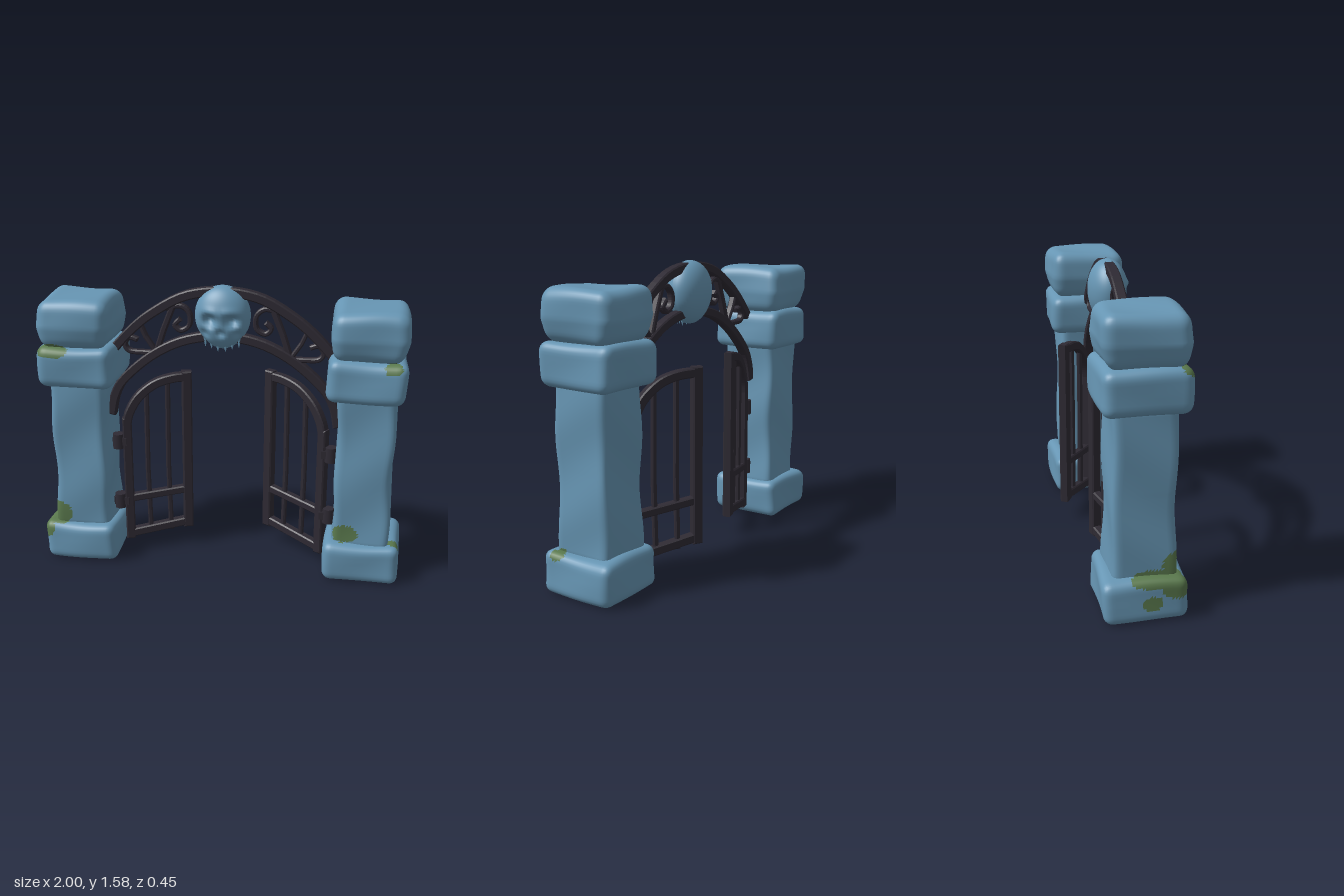
import * as THREE from 'three';
import { mergeVertices } from 'three/addons/utils/BufferGeometryUtils.js';

const flat = (name, color) => Object.assign(new THREE.MeshStandardMaterial({ color }), { name });
const stoneMat = flat('blue stone', 0x6796b4);
const ironMat = flat('dark iron', 0x2e2a33);
const mossMat = flat('moss green', 0x5b7a4e);

// Moss patches as ellipsoids: centre x, y, z and radii x, y, z
const MOSS = [
  [-0.91, 0.27, 0.15, 0.07, 0.07, 0.07], [-1.0, 0.18, 0.16, 0.07, 0.06, 0.09],
  [-0.97, 0.215, 0.05, 0.09, 0.04, 0.12], [-1.0, 0.1, 0.03, 0.05, 0.04, 0.05],
  [-0.89, 1.24, 0.2, 0.09, 0.035, 0.07], [0.69, 0.27, 0.16, 0.08, 0.05, 0.05],
  [0.98, 0.21, 0.12, 0.06, 0.03, 0.04], [0.9, 1.235, 0.2, 0.045, 0.03, 0.06],
];
const mossy = (x, y, z) => MOSS.some(([a, b, c, d, e, f]) =>
  ((x - a) / d) ** 2 + ((y - b) / e) ** 2 + ((z - c) / f) ** 2 < 1);

function smooth(geo) {
  geo.deleteAttribute('uv');
  geo.deleteAttribute('normal');
  const out = mergeVertices(geo, 1e-5);
  out.computeVertexNormals();
  return out;
}

function mesh(name, geo, mat, parent) {
  const m = new THREE.Mesh(geo, mat);
  m.name = name;
  parent.add(m);
  return m;
}

// Worn block with rounded edges; taper(t) scales its width at height t (-1..1)
function stone(name, parent, [cx, cy, cz], [w, h, d], r, seed, taper = () => 1) {
  const seg = (s) => Math.max(12, Math.round(s / 0.016));
  const geo = new THREE.BoxGeometry(w, h, d, seg(w), seg(h), seg(d));
  geo.clearGroups();
  const p = geo.attributes.position, v = new THREE.Vector3(), q = new THREE.Vector3();
  const inner = new THREE.Vector3(w / 2 - r, h / 2 - r, d / 2 - r);
  for (let i = 0; i < p.count; i++) {
    v.fromBufferAttribute(p, i);
    q.copy(v).clamp(inner.clone().negate(), inner);
    v.sub(q).setLength(r).add(q);
    const k = taper(v.y / (h / 2));
    const a = 0.006 * Math.sin(v.y * 13 + v.z * 9 + seed);
    const b = 0.006 * Math.sin(v.y * 11 - v.x * 10 + seed * 2);
    const c = 0.006 * Math.sin(v.x * 12 + v.z * 10 + seed * 3) * (v.y > 0 ? 1 : 0.2);
    p.setXYZ(i, cx + v.x * k + a, Math.max(0, cy + v.y + c), cz + v.z * k + b);
  }
  const out = smooth(geo), pos = out.attributes.position, idx = out.index.array;
  // Sort faces into clean stone and moss
  const sets = [[], []];
  for (let i = 0; i < idx.length; i += 3) {
    const t = [idx[i], idx[i + 1], idx[i + 2]];
    const mid = (get) => t.reduce((s, j) => s + pos[get](j) / 3, 0);
    sets[mossy(mid('getX'), mid('getY'), mid('getZ')) ? 1 : 0].push(...t);
  }
  out.setIndex([...sets[0], ...sets[1]]);
  out.addGroup(0, sets[0].length, 0);
  if (sets[1].length) out.addGroup(sets[0].length, sets[1].length, 1);
  return mesh(name, out, [stoneMat, mossMat], parent);
}

// Flat iron bar of width w and depth d following points in the xy plane
function bar(name, parent, pts, w, d, curved = false) {
  const bevel = 0.007;
  let line = pts.map(([x, y]) => new THREE.Vector2(x, y));
  if (curved) line = new THREE.SplineCurve(line).getPoints(pts.length * 4);
  const left = [], right = [];
  line.forEach((p, i) => {
    const t = line[Math.min(i + 1, line.length - 1)].clone().sub(line[Math.max(i - 1, 0)]).normalize();
    const n = new THREE.Vector2(-t.y, t.x).multiplyScalar(w / 2 - bevel);
    left.push(p.clone().add(n));
    right.unshift(p.clone().sub(n));
  });
  const geo = new THREE.ExtrudeGeometry(new THREE.Shape([...left, ...right]), {
    depth: d - 2 * bevel, bevelEnabled: true, bevelSize: bevel, bevelThickness: bevel, bevelSegments: 1,
  });
  geo.translate(0, 0, bevel - d / 2);
  return mesh(name, geo, ironMat, parent);
}

function pillar(s) {
  const g = new THREE.Group();
  g.name = s < 0 ? 'rightPillar' : 'leftPillar';
  const k = s + 2;
  stone('base', g, [s * 0.79, 0.11, 0], [0.41, 0.22, 0.42], 0.045, k);
  stone('shaft', g, [s * 0.779, 0.63, 0], [0.3, 0.9, 0.31], 0.035, k + 1,
    (t) => 1 + 0.03 * t * t);
  stone('collar', g, [s * 0.768, 1.145, 0], [0.405, 0.225, 0.425], 0.05, k + 2);
  stone('cap', g, [s * 0.772, 1.375, 0], [0.395, 0.265, 0.42], 0.06, k + 3,
    (t) => (t < -0.1 ? 1 - 0.13 * ((-t - 0.1) / 0.9) : 1 - 0.03 * t));
  return g;
}

function arch() {
  const g = new THREE.Group();
  g.name = 'arch';
  const mirrored = (half) => [...half, ...half.slice(0, -1).reverse().map(([x, y]) => [-x, y])];
  bar('outerArch', g, mirrored([[-0.6, 1.21], [-0.5, 1.32], [-0.38, 1.42], [-0.2, 1.52], [0, 1.55]]), 0.05, 0.055, true);
  bar('innerArch', g, mirrored([[-0.625, 0.84], [-0.6, 0.95], [-0.54, 1.05], [-0.38, 1.19], [-0.2, 1.28], [0, 1.31]]), 0.05, 0.055, true);
  for (const s of [-1, 1]) {
    const flip = (pts) => pts.map(([x, y]) => [s * x, y]);
    bar('archStrut', g, flip([[0.365, 1.19], [0.32, 1.33], [0.26, 1.48]]), 0.032, 0.04);
    bar('largeScroll', g, flip([[0.3, 1.45], [0.225, 1.465], [0.178, 1.425], [0.18, 1.36], [0.225, 1.332], [0.258, 1.36], [0.232, 1.39]]), 0.026, 0.04, true);
    bar('smallScroll', g, flip([[0.36, 1.2], [0.44, 1.2], [0.51, 1.205], [0.535, 1.24], [0.51, 1.28], [0.47, 1.27]]), 0.026, 0.04, true);
    bar('lowerStrut', g, flip([[0.36, 1.2], [0.42, 1.29], [0.45, 1.36]]), 0.024, 0.04);
  }
  return g;
}

// Gate leaf of length L swung back on its hinge by the given angle
function gate(s, L, angle) {
  const g = new THREE.Group();
  g.name = s < 0 ? 'rightGate' : 'leftGate';
  g.position.set(s * 0.575, 0, -0.005);
  g.rotation.y = -s * angle;
  const add = (name, pts, w, d, c) => bar(name, g, pts.map(([u, y]) => [-s * u, y]), w, d, c);
  const e = L - 0.028;
  add('hingePost', [[0.028, 0.06], [0.028, 0.8]], 0.052, 0.05);
  add('topRail', [[0.028, 0.77], [0.045, 0.84], [0.1, 0.93], [0.19, 1.0], [0.29, 1.03], [e, 1.035]], 0.05, 0.05, true);
  add('freePost', [[e, 0.115], [e, 1.06]], 0.055, 0.052);
  add('bottomRail', [[0.02, 0.085], [e, 0.145]], 0.05, 0.048);
  add('middleRail', [[0.02, 0.31], [e, 0.352]], 0.045, 0.045);
  for (const [f, top] of [[0.36, 0.95], [0.66, 1.02]]) {
    const u = L * f;
    add('gateBar', [[u + 0.004, 0.1], [u - 0.004, 0.5], [u, top]], 0.028, 0.028);
  }
  return g;
}

function hinges(s) {
  const g = new THREE.Group();
  g.name = 'hinges';
  for (const y of [0.3, 0.67]) {
    mesh('hingeBarrel', new THREE.CylinderGeometry(0.033, 0.036, 0.085, 8), ironMat, g).position.set(s * 0.597, y, 0);
    mesh('hingeArm', new THREE.BoxGeometry(0.1, 0.045, 0.04), ironMat, g).position.set(s * 0.595, y, 0);
  }
  return g;
}

function skull() {
  const g = new THREE.Group();
  g.name = 'skullOrnament';
  const geo = new THREE.SphereGeometry(1, 48, 40);
  const p = geo.attributes.position;
  const dent = (x, y, r) => Math.exp(-(x * x + y * y) / (r * r));
  for (let i = 0; i < p.count; i++) {
    const y0 = p.getY(i);
    const x = p.getX(i) * 0.148 * (y0 < -0.35 ? 1 - 0.15 * (-y0 - 0.35) : 1);
    const y = 1.425 + y0 * (y0 > 0 ? 0.158 : 0.18);
    let z = p.getZ(i) * 0.105;
    // Sunken eyes, nose and cheeks with a raised brow
    if (z > 0) {
      const ax = Math.abs(x);
      z -= 0.06 * dent(ax - 0.058, y - 1.41, 0.03) + 0.03 * dent(x, y - 1.345, 0.018)
        + 0.02 * dent(ax - 0.085, y - 1.34, 0.02) - 0.012 * dent((ax - 0.05) * 0.5, y - 1.455, 0.022);
      z = Math.max(z, 0.012);
    }
    p.setXYZ(i, x, y, z);
  }
  mesh('skullHead', smooth(geo), stoneMat, g);
  // Upper teeth and cheek points
  for (const [x, y, z, r, h] of [[0.02, 1.265, 0.035, 0.02, 0.07], [0.055, 1.275, 0.03, 0.018, 0.06], [0.09, 1.3, 0.02, 0.024, 0.1]])
    for (const s of [-1, 1]) {
      const t = mesh('tooth', new THREE.ConeGeometry(r, h, 7), stoneMat, g);
      t.position.set(s * x, y, z);
      t.rotation.x = Math.PI;
    }
  return g;
}

export function createModel() {
  const model = new THREE.Group();
  model.name = 'graveyardGate';
  for (const s of [-1, 1]) model.add(pillar(s), hinges(s));
  model.add(arch(), skull(), gate(-1, 0.395, 0.3), gate(1, 0.42, 0.53));
  return model;
}
